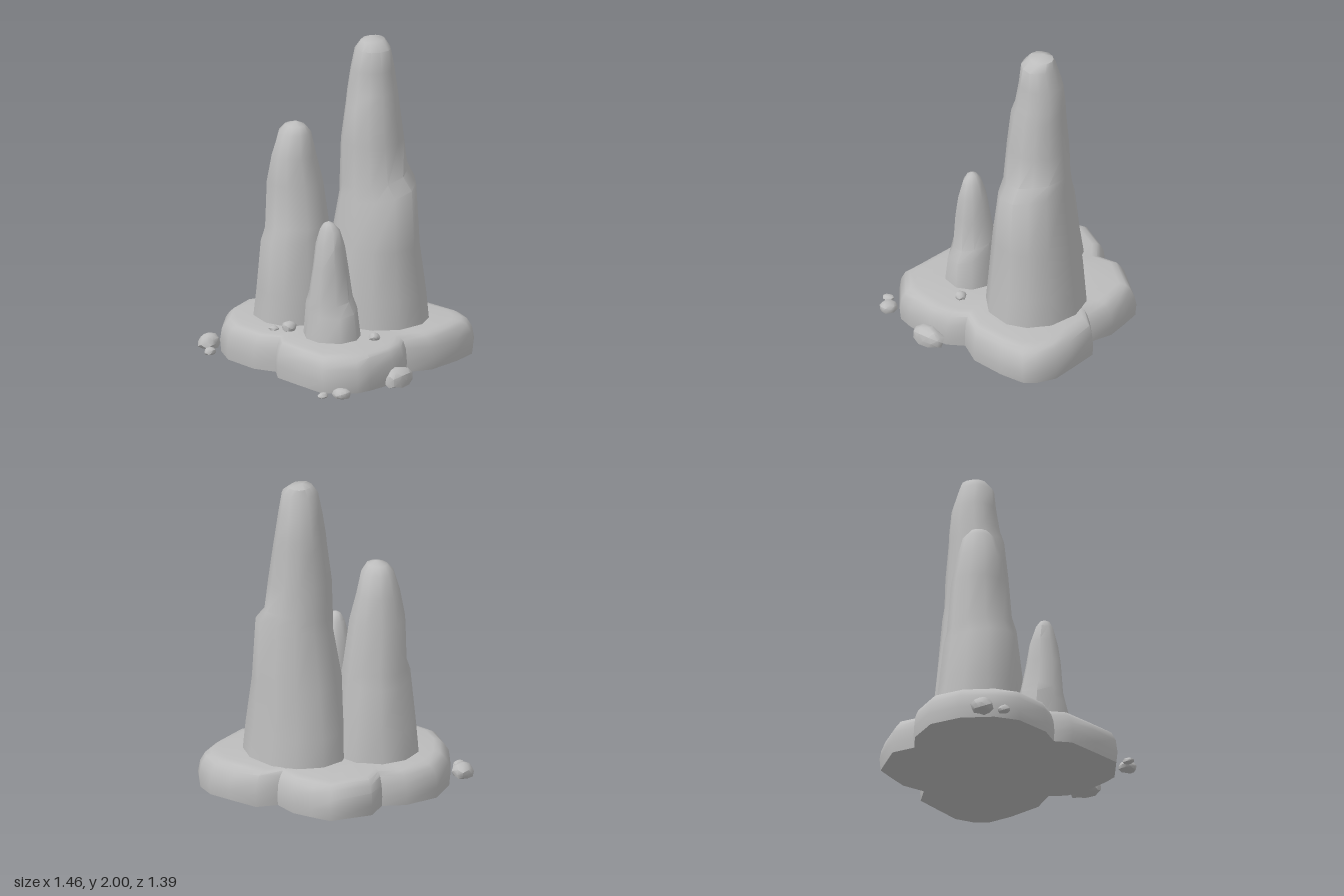
import * as THREE from 'three';
import { mergeVertices, toCreasedNormals } from 'three/addons/utils/BufferGeometryUtils.js';

// Small seeded random generator, returns -1..1
function seeded(seed) {
  let s = seed;
  return () => {
    s = (s * 16807) % 2147483647;
    return (s / 2147483647) * 2 - 1;
  };
}

// Skin equal-length rings from bottom to top and close both ends with a fan
function loft(rings, bottom, top, crease) {
  const n = rings[0].length;
  const points = rings.flat().concat([bottom, top]);
  const last = (rings.length - 1) * n;
  const b = points.length - 2, t = points.length - 1;
  const index = [];
  for (let j = 0; j < n; j++) {
    const k = (j + 1) % n;
    for (let i = 0; i < rings.length - 1; i++) {
      const p = i * n + j, q = i * n + k;
      index.push(p, p + n, q, q, p + n, q + n);
    }
    index.push(b, j, k, t, last + k, last + j);
  }
  const geo = new THREE.BufferGeometry();
  geo.setAttribute('position', new THREE.Float32BufferAttribute(points.flat(), 3));
  geo.setIndex(index);
  return toCreasedNormals(geo, crease);
}

// Four-lobed slab with a rounded top edge
function baseGeometry() {
  const outline = [
    [0.07, -0.60], [0.17, -0.695], [0.36, -0.685], [0.51, -0.675], [0.62, -0.61], [0.67, -0.54], [0.68, -0.38],
    [0.66, -0.16], [0.57, -0.02], [0.63, 0.08], [0.64, 0.20], [0.61, 0.38], [0.58, 0.47], [0.41, 0.605],
    [0.22, 0.58], [0.02, 0.55], [-0.06, 0.47], [-0.20, 0.51], [-0.43, 0.475], [-0.56, 0.38], [-0.67, 0.20],
    [-0.70, 0], [-0.60, -0.19], [-0.48, -0.28], [-0.50, -0.43], [-0.33, -0.64], [-0.20, -0.65], [-0.07, -0.655],
  ];
  const profile = [[0, 0.99], [0.07, 1], [0.14, 0.985], [0.19, 0.95], [0.213, 0.91], [0.222, 0.85], [0.222, 0.5]];
  const rand = seeded(11);
  const rings = profile.map(([y, s], i) => outline.map(([x, z]) => {
    const wobble = i > 0 && i < 4 ? rand() * 0.012 : 0;
    return [x * s, y + wobble, z * s];
  }));
  return loft(rings, [0, 0, 0], [0, 0.222, 0], 0.9);
}

// Tapering spire; each level is [y, xMin, xMax, zMin, zMax].
// The levels listed in ledge are tilted so the step runs diagonally.
function spireGeometry({ levels, tip, sides, seed, ledge, tilt, facing }) {
  const rand = seeded(seed);
  const turn = Array.from({ length: sides }, () => rand() * 0.09);
  const rings = levels.map(([y, x0, x1, z0, z1], i) => Array.from({ length: sides }, (_, j) => {
    const a = (j / sides) * Math.PI * 2 + turn[j];
    const r = 1.02 + (i ? rand() * 0.025 : 0);
    const drop = ledge.includes(i) ? tilt * Math.cos(a - facing) : 0;
    return [
      (x0 + x1) / 2 + (Math.cos(a) * r * (x1 - x0)) / 2,
      y + drop,
      (z0 + z1) / 2 + (Math.sin(a) * r * (z1 - z0)) / 2,
    ];
  }));
  return loft(rings, [tip[0], 0.15, tip[2]], tip, 0.8);
}

const spires = {
  tallSpire: {
    levels: [
      [0.15, -0.18, 0.485, -0.545, 0.05], [0.4, -0.16, 0.455, -0.52, 0.035], [0.7, -0.12, 0.43, -0.49, 0.01],
      [1.05, -0.075, 0.405, -0.46, -0.03], [1.13, -0.065, 0.345, -0.445, -0.04], [1.35, -0.055, 0.315, -0.43, -0.05],
      [1.58, -0.035, 0.285, -0.41, -0.075], [1.66, -0.03, 0.27, -0.405, -0.1], [1.8, -0.015, 0.25, -0.39, -0.12],
      [1.93, 0.02, 0.235, -0.355, -0.14], [1.98, 0.05, 0.18, -0.335, -0.18],
    ],
    tip: [0.1, 2, -0.26], sides: 12, seed: 101, ledge: [3, 4], tilt: -0.05, facing: 1.7,
  },
  middleSpire: {
    levels: [
      [0.15, -0.515, 0.01, -0.235, 0.295], [0.4, -0.485, -0.005, -0.21, 0.28], [0.71, -0.45, -0.03, -0.17, 0.26],
      [0.79, -0.435, -0.045, -0.16, 0.225], [1.08, -0.42, -0.08, -0.125, 0.205], [1.25, -0.385, -0.12, -0.09, 0.185],
      [1.39, -0.35, -0.15, -0.05, 0.14], [1.435, -0.31, -0.18, -0.01, 0.1],
    ],
    tip: [-0.24, 1.46, 0.045], sides: 11, seed: 733, ledge: [2, 3], tilt: 0.03, facing: 0.6,
  },
  smallSpire: {
    levels: [
      [0.15, -0.005, 0.365, 0.05, 0.39], [0.41, 0.015, 0.34, 0.08, 0.365], [0.48, 0.04, 0.3, 0.09, 0.352],
      [0.66, 0.065, 0.28, 0.12, 0.335], [0.8, 0.08, 0.26, 0.145, 0.312], [0.9, 0.11, 0.235, 0.175, 0.285],
      [0.94, 0.135, 0.2, 0.205, 0.265],
    ],
    tip: [0.165, 0.955, 0.235], sides: 9, seed: 419, ledge: [1, 2], tilt: -0.04, facing: 0.8,
  },
};

// Loose stones: x, floor height, z, half width, height, half depth
const pebbles = [
  [-0.665, 0, 0.36, 0.065, 0.09, 0.07], [-0.575, 0, 0.46, 0.035, 0.045, 0.04],
  [0.67, 0, 0.18, 0.06, 0.11, 0.11], [0.545, 0, 0.585, 0.06, 0.06, 0.055],
  [0.455, 0, 0.655, 0.03, 0.03, 0.038], [-0.08, 0.22, 0.31, 0.045, 0.06, 0.045],
  [-0.16, 0.22, 0.36, 0.03, 0.025, 0.03], [0.43, 0.22, 0.12, 0.035, 0.045, 0.035],
];

// Lumpy stone with a flattened underside
function pebbleGeometry(rand) {
  let geo = new THREE.IcosahedronGeometry(1, 1);
  geo.deleteAttribute('normal');
  geo.deleteAttribute('uv');
  geo = mergeVertices(geo, 0.001);
  const p = geo.attributes.position;
  for (let i = 0; i < p.count; i++) {
    const r = 1 + rand() * 0.1;
    p.setXYZ(i, p.getX(i) * r, Math.max(0, 0.35 + p.getY(i) * 0.65 * r), p.getZ(i) * r);
  }
  return toCreasedNormals(geo, 0.7);
}

export function createModel() {
  const model = new THREE.Group();
  model.name = 'rockSpires';
  const stone = new THREE.MeshStandardMaterial({ color: 0xbcbcbc });
  stone.name = 'grey stone';

  const add = (name, geo) => {
    const mesh = new THREE.Mesh(geo, stone);
    mesh.name = name;
    model.add(mesh);
    return mesh;
  };

  add('base', baseGeometry());
  for (const [name, spec] of Object.entries(spires)) add(name, spireGeometry(spec));

  const rand = seeded(57);
  pebbles.forEach(([x, y, z, w, h, d], i) => {
    const mesh = add(`pebble${i + 1}`, pebbleGeometry(rand));
    mesh.position.set(x, y, z);
    mesh.scale.set(w, h, d);
  });
  return model;
}
